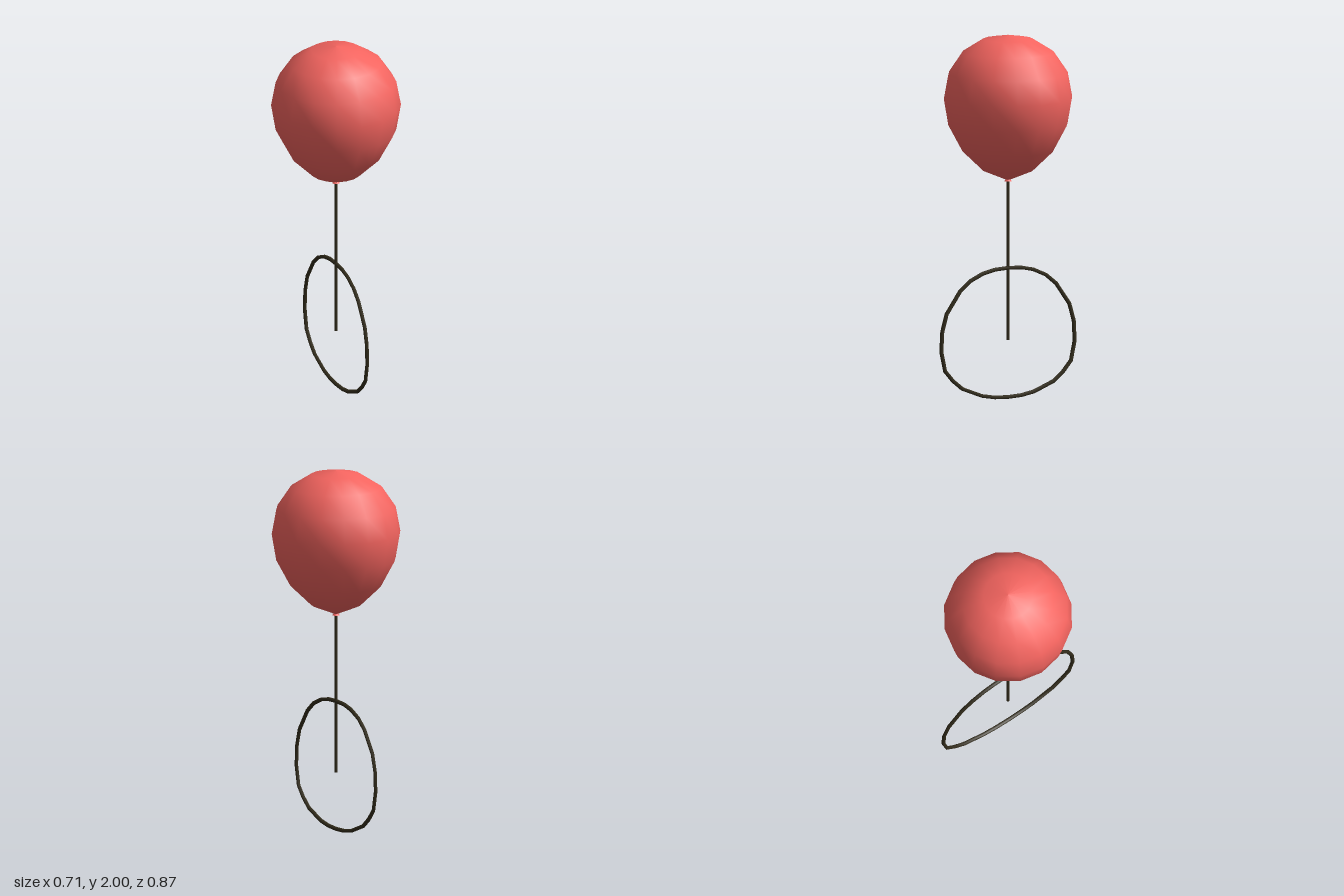
import * as THREE from 'three';

export function createModel() {
  const model = new THREE.Group();
  const red = new THREE.MeshStandardMaterial({ color: 0xf4645f });
  const dark = new THREE.MeshStandardMaterial({ color: 0x332d1c });

  function add(name, geometry, material) {
    const mesh = new THREE.Mesh(geometry, material);
    mesh.name = name;
    model.add(mesh);
    return mesh;
  }

  // Balloon: smooth profile turned in 16 sides, from the neck to the crown
  const profile = [
    [0.012, 1.205], [0.135, 1.255], [0.25, 1.365], [0.328, 1.51], [0.353, 1.655],
    [0.328, 1.79], [0.25, 1.905], [0.135, 1.977], [0, 2],
  ].map(([r, y]) => new THREE.Vector2(r, y));
  add('balloon', new THREE.LatheGeometry(profile, 16), red);

  // Knot: small flared lip under the neck
  const knot = add('knot', new THREE.CylinderGeometry(0.01, 0.02, 0.014, 16), red);
  knot.position.y = 1.203;

  // String hanging from the knot into the loop
  const string = add('string', new THREE.CylinderGeometry(0.009, 0.009, 0.875, 6), dark);
  string.position.y = 0.7625;

  // Loop: flattened ring in the z-y plane, mirrored from one half
  const half = [
    [0, 0.72], [0.085, 0.716], [0.16, 0.7], [0.24, 0.665], [0.305, 0.613],
    [0.39, 0.495], [0.418, 0.4], [0.424, 0.29], [0.4, 0.182], [0.35, 0.125],
    [0.29, 0.077], [0.165, 0.029], [0.085, 0.015], [0, 0.011],
  ];
  const mirrored = half.slice(1, -1).reverse().map(([z, y]) => [-z, y]);
  const points = [...half, ...mirrored].map(([z, y]) => new THREE.Vector3(0, y, z));
  const path = new THREE.CatmullRomCurve3(points, true);
  path.getUtoTmapping = (u) => u; // one tube ring per point
  add('loop', new THREE.TubeGeometry(path, points.length, 0.011, 6, true), dark);

  return model;
}
